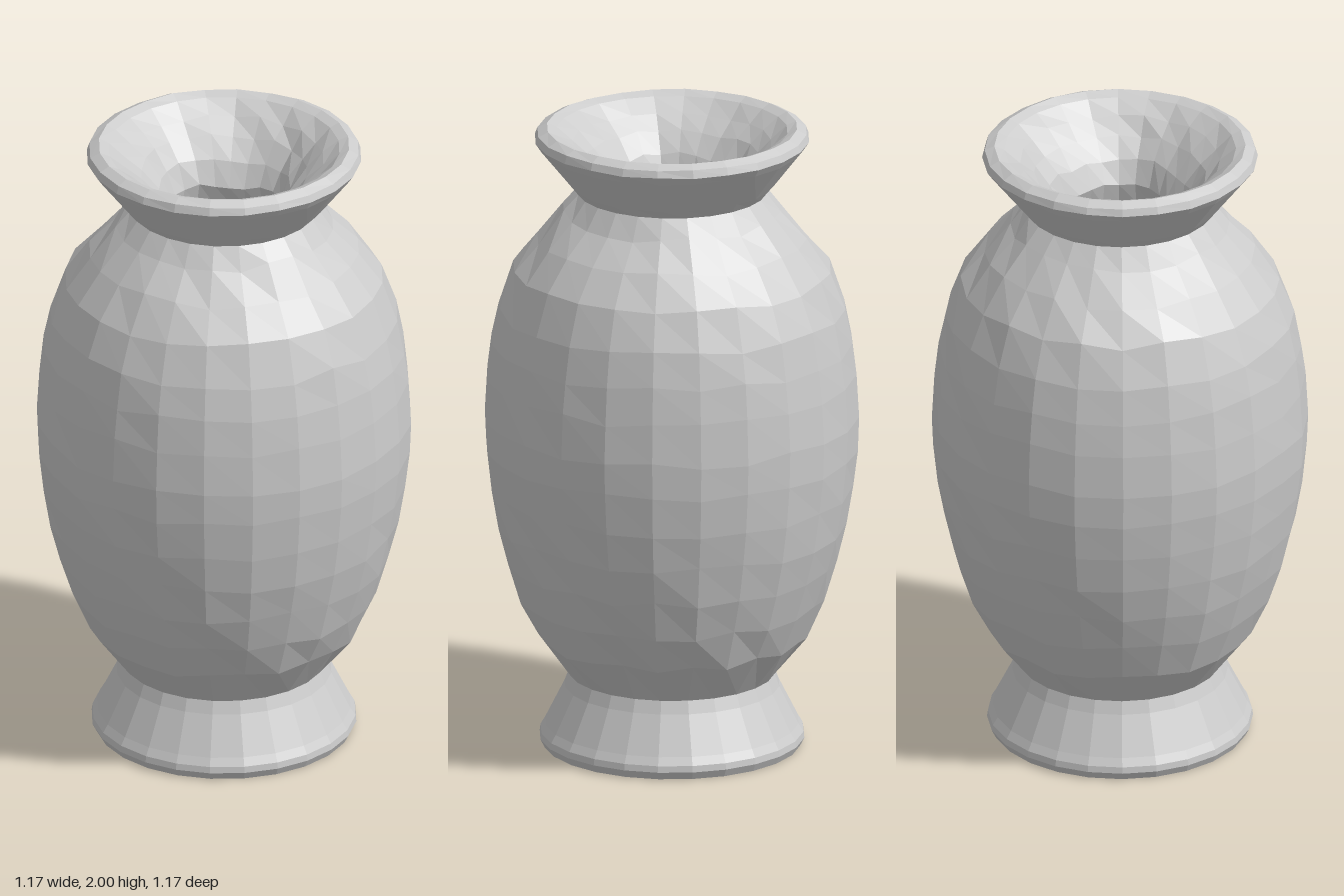
import * as THREE from 'three';

const SIDES = 24;
const material = new THREE.MeshStandardMaterial({
  color: 0xcccccc, flatShading: true, side: THREE.DoubleSide,
});

// Repeatable value in -1..1 for a ring and a side
function wobble(ring, side) {
  const s = Math.sin(ring * 12.9898 + side * 78.233) * 43758.5453;
  return (s - Math.floor(s)) * 2 - 1;
}

// Faceted turned part; inner rings move slightly in height for a hand-made look.
// profile entries are [radius, height, squareness]
function turned(name, profile, unevenness) {
  const n = profile.length;
  const points = profile.map(([r, y]) => new THREE.Vector2(r, y));
  const geometry = new THREE.LatheGeometry(points, SIDES);
  const pos = geometry.attributes.position;
  for (let i = 0; i <= SIDES; i++) {
    const side = i % SIDES;
    const angle = (side / SIDES) * Math.PI * 2;
    for (let j = 0; j < n; j++) {
      const k = i * n + j;
      const edge = j === 0 || j === n - 1;
      const shrink = 1 - (profile[j][2] || 0) * (1 - Math.cos(4 * angle)) / 2;
      const lift = edge ? 0 : unevenness * wobble(j, side);
      pos.setXYZ(k, pos.getX(k) * shrink, pos.getY(k) + lift, pos.getZ(k) * shrink);
    }
  }
  geometry.computeVertexNormals();
  const mesh = new THREE.Mesh(geometry, material);
  mesh.name = name;
  return mesh;
}

export function createModel() {
  const vase = new THREE.Group();
  vase.name = 'vase';

  // Flared foot with a flat underside
  vase.add(turned('foot', [
    [0, 0], [0.4, 0], [0.413, 0.025], [0.41, 0.045], [0.395, 0.07],
    [0.335, 0.19], [0.32, 0.23],
  ], 0));

  // Barrel-shaped body
  vase.add(turned('body', [
    [0.32, 0.23], [0.42, 0.36], [0.475, 0.48], [0.515, 0.6], [0.545, 0.72],
    [0.566, 0.84], [0.58, 0.96], [0.584, 1.07], [0.576, 1.2], [0.563, 1.31],
    [0.541, 1.42], [0.495, 1.54], [0.42, 1.64], [0.34, 1.73], [0.295, 1.79],
  ], 0.012));

  // Flared lip with a rounded rim
  vase.add(turned('lip', [
    [0.295, 1.79], [0.32, 1.82], [0.41, 1.935], [0.428, 1.96], [0.42, 1.983],
    [0.39, 1.998], [0.36, 1.985],
  ], 0.002));

  // Funnel running down into a slightly four-sided throat
  vase.add(turned('throat', [
    [0.36, 1.985], [0.31, 1.945], [0.27, 1.9, 0.05], [0.225, 1.84, 0.1], [0.195, 1.77, 0.14],
    [0.21, 1.7, 0.1], [0.28, 1.62],
  ], 0.008));

  // Hollow inside with a flat floor
  vase.add(turned('cavity', [
    [0.28, 1.62], [0.39, 1.5], [0.46, 1.3], [0.485, 1.05], [0.465, 0.8],
    [0.41, 0.55], [0.32, 0.36], [0.25, 0.3], [0, 0.3],
  ], 0));

  return vase;
}
